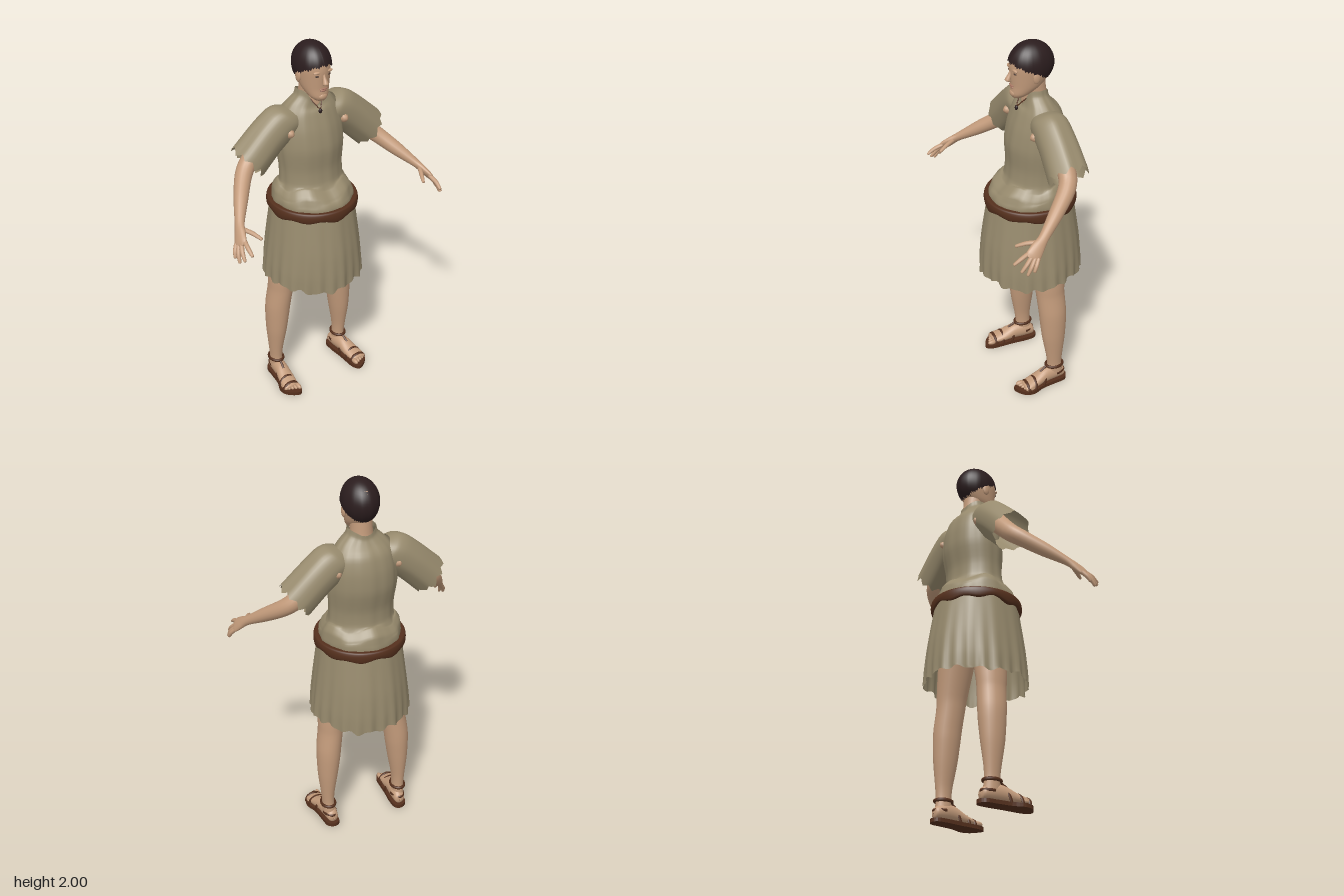
import * as THREE from 'three';

const mat = (name, color, double) => {
  const m = new THREE.MeshStandardMaterial({ color });
  m.name = name;
  if (double) m.side = THREE.DoubleSide;
  return m;
};
const V = (x, y, z) => new THREE.Vector3(x, y, z);

// Smooth skin over elliptical sections [x, y, z, a, b]; a lies along ref, b across it.
// "axis" fixes the direction of all rings, otherwise they follow the path.
function loft(sections, { ref = V(1, 0, 0), axis = null, n = 24, steps = 4, warp = null } = {}) {
  const path = new THREE.CatmullRomCurve3(sections.map(s => V(s[0], s[1], s[2])), false, 'catmullrom', 0.4);
  const size = new THREE.CatmullRomCurve3(sections.map(s => V(s[3], s[4], 0)), false, 'catmullrom', 0.4);
  const rows = (sections.length - 1) * steps;
  const pos = [], idx = [];
  for (let j = 0; j <= rows; j++) {
    const f = j / rows, c = path.getPoint(f), r = size.getPoint(f);
    const t = axis ? axis.clone() : path.getTangent(f);
    const u = ref.clone().addScaledVector(t, -ref.dot(t)).normalize();
    const v = t.clone().cross(u);
    for (let i = 0; i < n; i++) {
      const th = i / n * Math.PI * 2;
      const p = c.clone().addScaledVector(u, r.x * Math.cos(th)).addScaledVector(v, r.y * Math.sin(th));
      if (warp) warp(p, th, f, c);
      pos.push(p.x, p.y, p.z);
      if (j < rows) {
        const k = (i + 1) % n, a = j * n + i, b = j * n + k;
        idx.push(a, b, b + n, a, b + n, a + n);
      }
    }
  }
  const g = new THREE.BufferGeometry();
  g.setAttribute('position', new THREE.Float32BufferAttribute(pos, 3));
  g.setIndex(idx);
  g.computeVertexNormals();
  return g;
}

export function createModel() {
  const skin = mat('skin', 0xc39b7b, true);
  const cloth = mat('linen cloth', 0x978a6d, true);
  const hairMat = mat('dark hair', 0x2b1d1e, true);
  const leather = mat('brown leather', 0x55301d, true);
  const lipMat = mat('lips', 0xa87763);
  const eyeMat = mat('eyes', 0x4a372e);

  const model = new THREE.Group();
  model.name = 'figure';
  const add = (name, geo, m, parent = model) => {
    const mesh = new THREE.Mesh(geo, m);
    mesh.name = name;
    parent.add(mesh);
    return mesh;
  };
  const blob = (name, m, x, y, z, rx, ry, rz, parent = model) =>
    add(name, new THREE.SphereGeometry(1, 16, 10).scale(rx, ry, rz).translate(x, y, z), m, parent);
  const up = V(0, 1, 0), zRef = V(0, 0, 1);

  // Head, neck and face
  const head = new THREE.Group();
  head.name = 'head';
  model.add(head);
  add('skull', loft([
    [0, 1.712, 0.035, 0.004, 0.004], [0, 1.718, 0.033, 0.026, 0.03], [0, 1.74, 0.018, 0.05, 0.054],
    [0, 1.78, -0.013, 0.068, 0.083], [0, 1.83, -0.03, 0.078, 0.104], [0, 1.88, -0.035, 0.083, 0.112],
    [0, 1.93, -0.038, 0.08, 0.106], [0, 1.97, -0.04, 0.055, 0.075], [0, 1.985, -0.04, 0.004, 0.004],
  ], { axis: up }), skin, head);
  add('neck', loft([
    [0, 1.62, -0.06, 0.12, 0.07], [0, 1.67, -0.06, 0.085, 0.068],
    [0, 1.72, -0.057, 0.058, 0.06], [0, 1.81, -0.045, 0.056, 0.064],
  ], { axis: up }), skin, head);
  add('nose', loft([
    [0, 1.87, 0.066, 0.006, 0.008], [0, 1.845, 0.076, 0.008, 0.01],
    [0, 1.818, 0.088, 0.015, 0.015], [0, 1.808, 0.08, 0.012, 0.012], [0, 1.803, 0.075, 0.002, 0.002],
  ], { axis: V(0, -1, 0), n: 12 }), skin, head);
  blob('upperLip', lipMat, 0, 1.784, 0.067, 0.024, 0.005, 0.008, head);
  blob('lowerLip', lipMat, 0, 1.774, 0.065, 0.02, 0.006, 0.009, head);
  blob('chin', skin, 0, 1.742, 0.06, 0.026, 0.02, 0.016, head);
  for (const s of [1, -1]) {
    blob('eye', eyeMat, s * 0.031, 1.855, 0.063, 0.014, 0.005, 0.007, head);
    blob('brow', skin, s * 0.032, 1.873, 0.063, 0.024, 0.008, 0.011, head);
    blob('ear', skin, s * 0.084, 1.838, -0.03, 0.01, 0.032, 0.02, head);
  }

  // Hair: a cap whose edge is high on the forehead and low at the nape
  const hair = new THREE.SphereGeometry(1, 48, 20);
  const hp = hair.attributes.position, uv = hair.attributes.uv;
  for (let i = 0; i < hp.count; i++) {
    const az = uv.getX(i) * Math.PI * 2, frac = 1 - uv.getY(i);
    const front = Math.cos(az);
    const edge = 1.9 - 0.48 * front + 0.12 * Math.max(0, -front) + 0.035 * Math.sin(az * 14);
    const phi = frac * edge, r = Math.sin(phi) * (1 + 0.012 * Math.sin(az * 12) * frac);
    hp.setXYZ(i, 0.094 * r * Math.sin(az), 1.885 + 0.115 * Math.cos(phi), -0.037 + 0.118 * r * front);
  }
  // Triangles at the lower end were collapsed on a pole, so the outer skin stays open there
  hair.computeVertexNormals();
  add('hair', hair, hairMat, head);

  // Tunic body, dipping to a notch at the throat
  add('tunicBody', loft([
    [0, 1.12, -0.035, 0.208, 0.215], [0, 1.16, -0.035, 0.214, 0.215], [0, 1.205, -0.042, 0.206, 0.196],
    [0, 1.235, -0.046, 0.19, 0.165], [0, 1.26, -0.048, 0.174, 0.142], [0, 1.34, -0.052, 0.172, 0.136],
    [0, 1.45, -0.06, 0.183, 0.149], [0, 1.55, -0.067, 0.18, 0.138], [0, 1.63, -0.07, 0.163, 0.114],
    [0, 1.685, -0.062, 0.125, 0.084], [0, 1.725, -0.056, 0.084, 0.069], [0, 1.758, -0.055, 0.074, 0.066],
  ], {
    axis: up, n: 64, warp: (p, th, f, c) => {
      const k = 1 + 0.012 * Math.sin(th * 9 + f * 2) + 0.008 * Math.sin(th * 17);
      p.x *= k;
      p.z = c.z + (p.z - c.z) * k;
      const front = Math.max(0, -Math.sin(th)), back = Math.max(0, Math.sin(th));
      if (p.y > 1.655) p.y = 1.655 + (p.y - 1.655) * (1 - 0.8 * front ** 6 - 0.3 * back ** 3);
      if (p.y > 1.19 && p.y < 1.25) p.y += 0.012 * Math.sin(th * 5);
    },
  }), cloth);

  // Pleated skirt with a ragged hem
  add('skirt', loft([
    [0, 1.15, -0.035, 0.214, 0.221], [0, 1.07, -0.035, 0.224, 0.234], [0, 0.9, -0.035, 0.245, 0.26],
    [0, 0.78, -0.035, 0.258, 0.27], [0, 0.69, -0.035, 0.263, 0.272],
  ], {
    axis: up, n: 120, steps: 5, warp: (p, th, f, c) => {
      const k = 1 + f * f * (0.026 * Math.sin(th * 24) + 0.012 * Math.sin(th * 7 + 1)) + 0.008 * Math.sin(th * 11);
      p.x *= k;
      p.z = c.z + (p.z - c.z) * k;
      p.y += f ** 3 * (0.009 * Math.sin(th * 15) + 0.008 * Math.sin(th * 4));
    },
  }), cloth);

  // Belt with a wavy lower edge
  add('belt', loft([
    [0, 1.102, -0.035, 0.216, 0.226], [0, 1.1, -0.035, 0.235, 0.239], [0, 1.125, -0.035, 0.24, 0.244],
    [0, 1.15, -0.035, 0.234, 0.239], [0, 1.15, -0.035, 0.21, 0.216],
  ], {
    axis: up, n: 72, steps: 3, warp: (p, th, f) => {
      if (f < 0.6) p.y += (0.6 - f) * (0.018 * Math.sin(th * 9) + 0.01 * Math.sin(th * 5));
    },
  }), leather);

  // Throat pendant on a cord
  add('pendantCord', new THREE.TubeGeometry(new THREE.CatmullRomCurve3(
    [V(-0.035, 1.715, 0.0), V(-0.02, 1.69, 0.022), V(0, 1.665, 0.038), V(0.02, 1.69, 0.022), V(0.035, 1.715, 0.0)]), 20, 0.003, 6), leather);
  blob('pendant', hairMat, 0, 1.654, 0.042, 0.01, 0.013, 0.008);

  for (const s of [1, -1]) {
    const side = s > 0 ? 'left' : 'right';
    const m = list => list.map(([x, ...rest]) => [x * s, ...rest]);

    // Sleeve and the skin showing at its seam
    add(side + 'Sleeve', loft(m([
      [0.1, 1.625, -0.062, 0.07, 0.068], [0.135, 1.613, -0.064, 0.088, 0.094], [0.18, 1.588, -0.067, 0.094, 0.102],
      [0.26, 1.525, -0.07, 0.098, 0.1], [0.365, 1.427, -0.07, 0.104, 0.101],
    ]), {
      ref: zRef, axis: V(0.77 * s, -0.64, 0), n: 40, warp: (p, th, f) => {
        const w = f ** 3 * 0.009 * Math.sin(th * 10);
        p.x += s * w;
        p.y -= w + 0.006 * f * Math.sin(th * 6);
      },
    }), cloth);
    blob(side + 'ArmpitSkin', skin, s * 0.163, 1.562, -0.062, 0.035, 0.04, 0.106);

    // Arm and palm
    const arm = new THREE.Group();
    arm.name = side + 'Arm';
    model.add(arm);
    add('armAndPalm', loft(m([
      [0.2, 1.58, -0.07, 0.055, 0.055], [0.35, 1.43, -0.07, 0.047, 0.047], [0.41, 1.375, -0.035, 0.044, 0.043],
      [0.48, 1.305, 0.055, 0.036, 0.036], [0.543, 1.24, 0.145, 0.026, 0.022], [0.565, 1.21, 0.185, 0.034, 0.019],
      [0.583, 1.183, 0.217, 0.039, 0.015], [0.591, 1.172, 0.231, 0.03, 0.008], [0.592, 1.17, 0.233, 0.003, 0.002],
    ]), { ref: zRef, n: 18 }), skin, arm);
    // Fingers and thumb: root, bend, tip
    const digits = {
      index: [[0.57, 1.195, 0.232], [0.577, 1.175, 0.28], [0.576, 1.152, 0.317]],
      middle: [[0.58, 1.184, 0.222], [0.598, 1.152, 0.258], [0.603, 1.118, 0.29]],
      ring: [[0.589, 1.175, 0.212], [0.61, 1.14, 0.24], [0.617, 1.102, 0.264]],
      little: [[0.597, 1.168, 0.2], [0.615, 1.142, 0.218], [0.623, 1.115, 0.232]],
      thumb: [[0.552, 1.225, 0.165], [0.52, 1.215, 0.225], [0.497, 1.198, 0.272]],
    };
    for (const [name, [a, b, c]] of Object.entries(digits)) {
      const end = c.map((e, i) => e + (c[i] - b[i]) * 0.06);
      add(name + 'Digit', loft(m([[...a, 0.012, 0.011], [...b, 0.0115, 0.011], [...c, 0.008, 0.007], [...end, 0.001, 0.001]]),
        { n: 10 }), skin, arm);
    }

    // Leg
    add(side + 'Leg', loft(m([
      [0.21, 0.06, -0.09, 0.035, 0.048], [0.212, 0.13, -0.088, 0.032, 0.042], [0.213, 0.2, -0.086, 0.037, 0.048],
      [0.209, 0.32, -0.082, 0.053, 0.065], [0.203, 0.43, -0.08, 0.063, 0.074], [0.198, 0.5, -0.077, 0.066, 0.077],
      [0.185, 0.6, -0.07, 0.066, 0.079], [0.178, 0.67, -0.067, 0.07, 0.084], [0.15, 0.85, -0.06, 0.085, 0.1],
      [0.11, 1.05, -0.05, 0.1, 0.11],
    ]), { axis: up }), skin);

    // Foot with toes
    const foot = new THREE.Group();
    foot.name = side + 'Foot';
    model.add(foot);
    add('footBody', loft(m([
      [0.203, 0.045, -0.152, 0.004, 0.004], [0.204, 0.05, -0.142, 0.028, 0.03], [0.207, 0.062, -0.09, 0.037, 0.046],
      [0.214, 0.06, -0.025, 0.039, 0.044], [0.222, 0.045, 0.035, 0.045, 0.03], [0.229, 0.038, 0.08, 0.046, 0.021],
      [0.232, 0.035, 0.105, 0.038, 0.014], [0.232, 0.035, 0.11, 0.004, 0.004],
    ]), { axis: zRef }), skin, foot);
    for (let i = 0; i < 5; i++) {
      const big = i === 0;
      blob('toe', skin, s * (0.197 + i * 0.0175 + (big ? -0.002 : 0)), 0.032, 0.112 - i * 0.008,
        big ? 0.013 : 0.0095, big ? 0.014 : 0.011, 0.028, foot);
    }

    // Sandal: sole, ankle strap and straps over the foot
    const outline = [[0.202, -0.165], [0.238, -0.145], [0.248, -0.08], [0.258, 0], [0.28, 0.06], [0.272, 0.105],
      [0.235, 0.14], [0.2, 0.152], [0.178, 0.12], [0.173, 0.06], [0.172, 0], [0.165, -0.09], [0.172, -0.15]];
    const pts = new THREE.CatmullRomCurve3(outline.map(([x, z]) => V(x * s, z, 0)), true).getPoints(48).slice(0, -1);
    const sole = new THREE.ExtrudeGeometry(new THREE.Shape(pts.map(p => new THREE.Vector2(p.x, p.y))), { depth: 0.02, bevelEnabled: false });
    add('sandalSole', sole.rotateX(Math.PI / 2).translate(0, 0.02, 0), leather, foot);
    add('ankleStrap', new THREE.TorusGeometry(1, 0.16, 8, 32).rotateX(Math.PI / 2)
      .scale(0.038, 0.06, 0.048).translate(s * 0.212, 0.12, -0.088), leather, foot);
    // [x, z, half width, height, tilt]
    for (const [x, z, a, h, tilt] of [[0.216, -0.005, 0.042, 0.084, -0.3], [0.226, 0.05, 0.05, 0.056, -0.15], [0.23, 0.088, 0.049, 0.044, 0.1]]) {
      add('footStrap', new THREE.TorusGeometry(1, 0.08, 6, 24, Math.PI).scale(a, h, 0.11)
        .rotateX(tilt).translate(s * x, 0.016, z), leather, foot);
    }
    add('heelStrap', new THREE.TorusGeometry(1, 0.09, 6, 24, Math.PI).rotateX(-Math.PI / 2)
      .scale(0.036, 0.09, 0.058).translate(s * 0.207, 0.065, -0.09), leather, foot);
    add('insteps', new THREE.TubeGeometry(new THREE.CatmullRomCurve3(
      [V(s * 0.213, 0.12, -0.045), V(s * 0.215, 0.108, -0.025), V(s * 0.218, 0.09, 0.0)]), 8, 0.007, 6), leather, foot);
  }
  return model;
}
